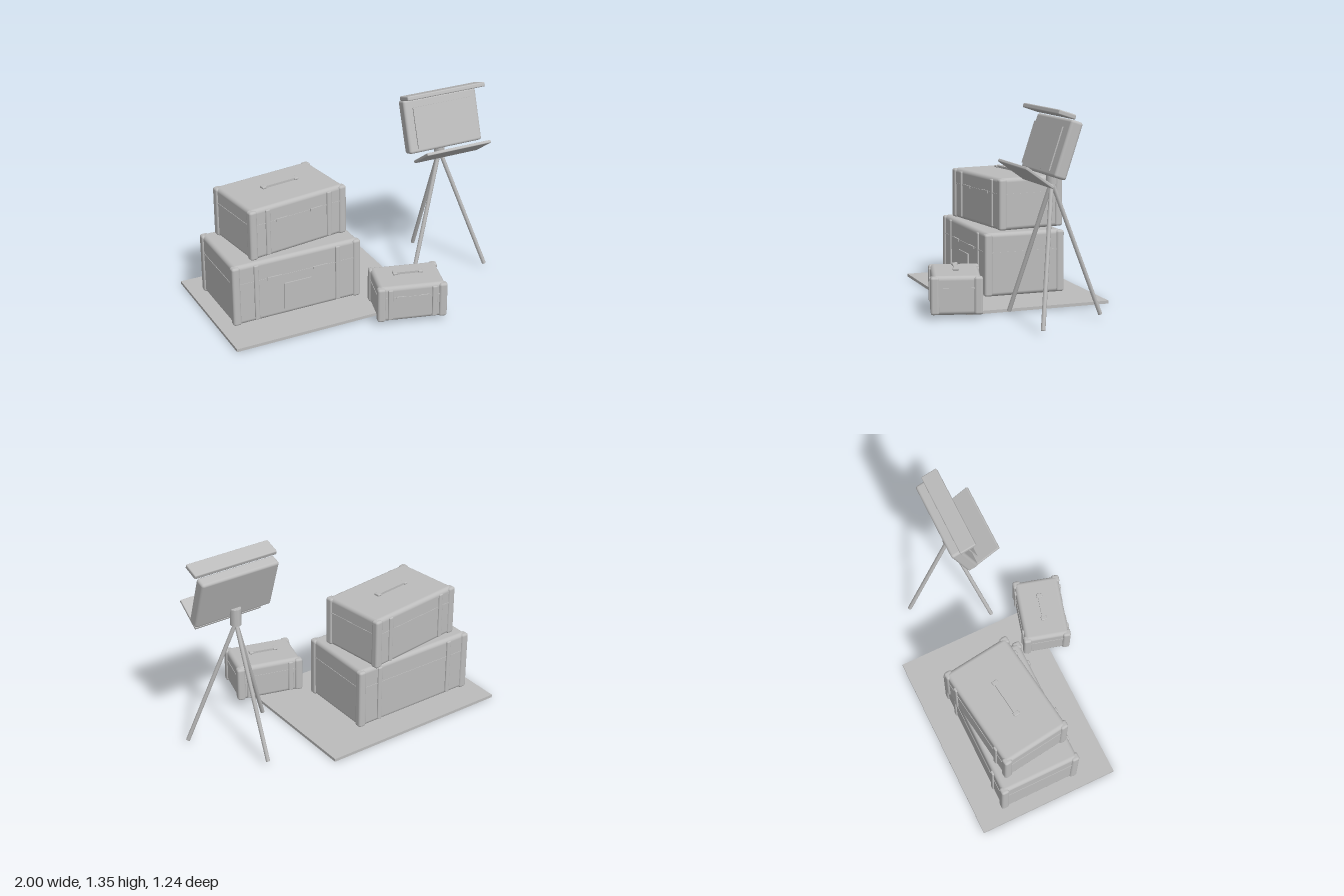
import * as THREE from 'three';
import { RoundedBoxGeometry } from 'three/addons/geometries/RoundedBoxGeometry.js';

const grey = new THREE.MeshStandardMaterial({ color: 0xbcbcbc });
grey.name = 'plain grey';

function add(parent, name, geometry, x = 0, y = 0, z = 0) {
  const mesh = new THREE.Mesh(geometry, grey);
  mesh.name = name;
  mesh.position.set(x, y, z);
  parent.add(mesh);
  return mesh;
}
const box = (w, h, d) => new THREE.BoxGeometry(w, h, d);
const rounded = (w, h, d, r) => new RoundedBoxGeometry(w, h, d, 3, r);

// Travelling trunk, w and d measured over the corner guards, standing on its own y = 0
function trunk(name, w, h, d, handleLength) {
  const g = new THREE.Group();
  g.name = name;
  const bw = w - 0.02, bd = d - 0.02;
  add(g, 'body', rounded(bw, h, bd, 0.028), 0, h / 2, 0);
  add(g, 'lidSeam', box(bw + 0.006, 0.008, bd + 0.006), 0, h * 0.69, 0);
  for (const sx of [-1, 1]) {
    for (const sz of [-1, 1]) {
      add(g, 'cornerGuard', rounded(0.055, h - 0.008, 0.055, 0.016),
        sx * (w / 2 - 0.0275), h / 2, sz * (d / 2 - 0.0275));
      add(g, 'strap', rounded(0.034, h - 0.03, 0.02, 0.008), sx * w * 0.317, h / 2, sz * bd / 2);
    }
    add(g, 'latch', box(w * 0.1 + 0.012, 0.018, 0.016), sx * w * 0.178, h * 0.69, bd / 2);
  }
  // Handle: a slim bar with wider ends, just above the lid
  const y = h + 0.022, wide = 0.042;
  add(g, 'handleBar', box(handleLength - 0.04, 0.015, 0.024), 0, y, 0);
  for (const s of [-1, 1]) {
    add(g, 'handleEnd', rounded(0.03, 0.016, wide, 0.006), s * (handleLength / 2 - 0.015), y, 0);
  }
  return g;
}

// Straight round bar between two points
function bar(parent, name, a, b, r) {
  const dir = b.clone().sub(a);
  const m = add(parent, name, new THREE.CylinderGeometry(r, r, dir.length(), 8));
  m.position.copy(a).addScaledVector(dir, 0.5);
  m.quaternion.setFromUnitVectors(new THREE.Vector3(0, 1, 0), dir.normalize());
}

function displayStand() {
  const g = new THREE.Group();
  g.name = 'displayStand';
  g.position.x = 0.695;

  // Tripod
  const apex = new THREE.Vector3(0, 0.885, -0.065);
  for (const [x, z] of [[-0.29, 0.105], [0.29, 0.105], [0, -0.4]]) {
    bar(g, 'tripodLeg', apex, new THREE.Vector3(x, 0.025, z), 0.014);
  }
  add(g, 'tripodHead', new THREE.CylinderGeometry(0.037, 0.037, 0.115, 10), 0, 0.93, -0.065);

  // Tilted case with hood and screen
  const head = new THREE.Group();
  head.name = 'displayCase';
  head.position.set(0, 1.103, -0.062);
  head.rotation.x = -0.32;
  add(head, 'caseBody', rounded(0.555, 0.36, 0.08, 0.018));
  add(head, 'screen', box(0.45, 0.275, 0.008), 0, -0.013, 0.061);
  add(head, 'hood', rounded(0.59, 0.03, 0.115, 0.008), 0, 0.197, 0.085);
  g.add(head);

  // Sloping shelf in front
  add(g, 'shelf', rounded(0.487, 0.02, 0.215, 0.006), 0, 0.94, 0.107).rotation.x = -0.62;
  return g;
}

export function createModel() {
  const model = new THREE.Group();
  model.name = 'luggageAndStand';

  add(model, 'groundMat', box(1.33, 0.02, 0.985), -0.335, 0.01, -0.132);

  const large = trunk('largeTrunk', 0.918, 0.428, 0.567, 0.27);
  large.position.set(-0.457, 0.027, -0.162);
  // The trunk stacked on top hides where a handle would go
  large.children.filter((c) => c.name.startsWith('handle')).forEach((c) => large.remove(c));
  add(large, 'label', box(0.195, 0.19, 0.009), 0, 0.138, 0.277);

  const middle = trunk('middleTrunk', 0.735, 0.352, 0.482, 0.275);
  middle.position.set(-0.437, 0.458, -0.19);
  middle.rotation.y = 0.13;

  const small = trunk('smallTrunk', 0.465, 0.25, 0.33, 0.2);
  small.position.set(0.202, 0.024, 0.398);
  small.rotation.y = -0.27;

  model.add(large, middle, small, displayStand());
  return model;
}
